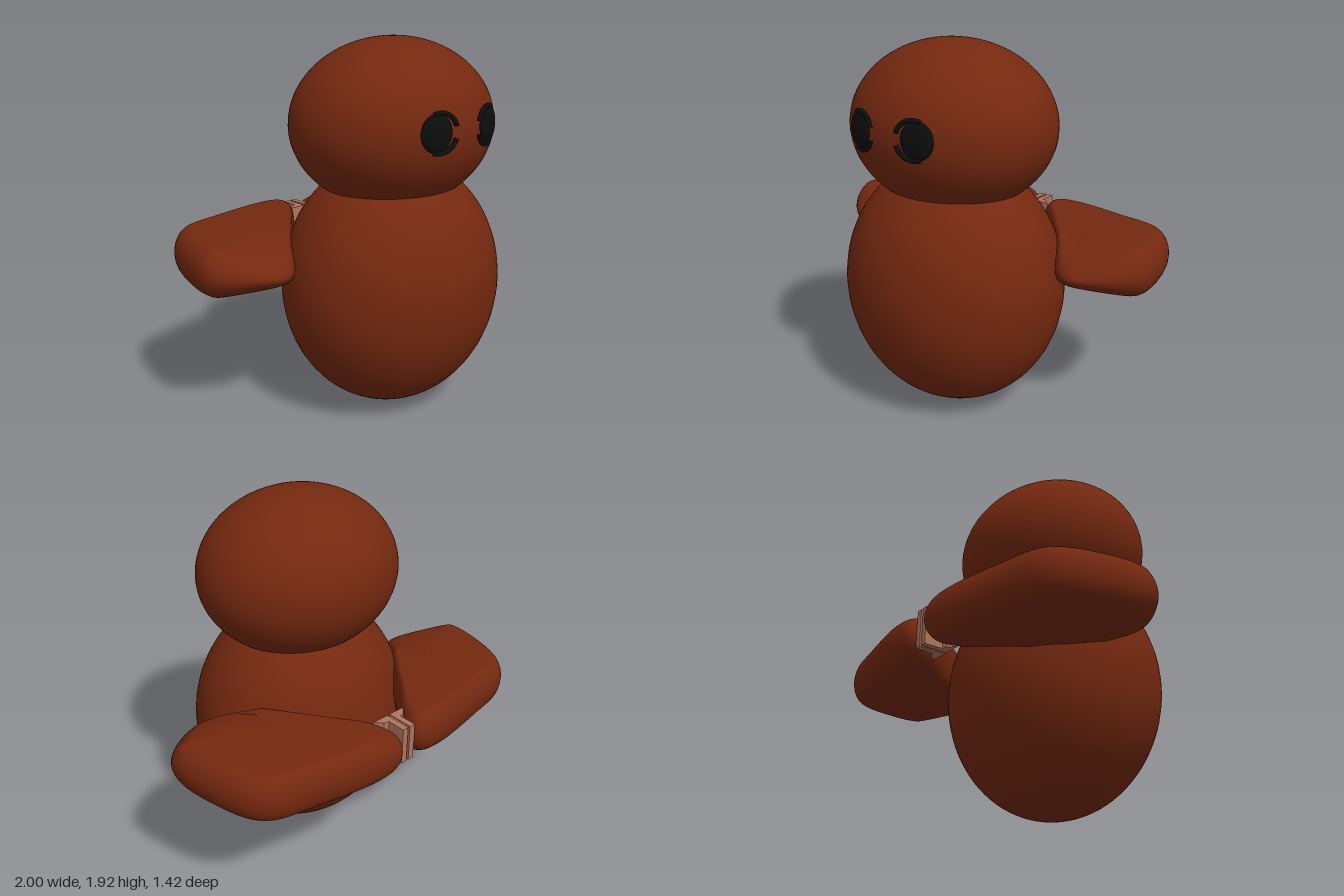
import * as THREE from 'three';

const brown = new THREE.MeshStandardMaterial({ name: 'russet brown', color: 0x74280f });
const black = new THREE.MeshStandardMaterial({ name: 'black', color: 0x0d0d0d });
const pink = new THREE.MeshStandardMaterial({ name: 'dusty pink', color: 0xb0745f });

function add(parent, name, geometry, material, x = 0, y = 0, z = 0) {
  const mesh = new THREE.Mesh(geometry, material);
  mesh.name = name;
  mesh.position.set(x, y, z);
  parent.add(mesh);
  return mesh;
}

// Wing outline seen from above, as [x, z], clockwise from the root
const wingOutline = [
  [0.04, -0.66], [0.08, -0.7], [0.2, -0.71], [0.36, -0.69], [0.58, -0.648], [0.79, -0.6], [0.88, -0.525],
  [0.96, -0.33], [0.998, -0.1], [0.965, -0.025], [0.8, 0.11], [0.7, 0.148], [0.62, 0.12],
  [0.5, -0.02], [0.35, -0.2], [0.2, -0.385], [0.08, -0.53], [0.05, -0.59],
];

// Flat pillow built from rings that shrink towards the wing centre
function wingGeometry(side) {
  const curve = new THREE.CatmullRomCurve3(
    wingOutline.map(([x, z]) => new THREE.Vector3(x, 0, z)), true, 'centripetal');
  const n = 90;
  const outline = curve.getPoints(n).slice(0, n);
  const rings = [[0, 1], [0.5, 1]];
  for (let i = 0; i <= 16; i++) {
    const t = (i / 16) * Math.PI;
    rings.push([0.8 + 0.2 * Math.sin(t), Math.cos(t)]);
  }
  rings.push([0.5, -1], [0, -1]);

  const positions = [], index = [];
  for (const [s, f] of rings) {
    for (const p of outline) {
      const x = 0.52 + (p.x - 0.52) * s;
      const z = -0.3 + (p.z + 0.3) * s;
      const tip = THREE.MathUtils.clamp((z + 0.1) / 0.25, 0, 1);   // thins towards the front tip
      const drop = side > 0 ? 0.03 * THREE.MathUtils.clamp((-0.1 - z) / 0.5, 0, 1) : 0;
      positions.push(side * x, 0.833 - 0.02 * tip - drop + 0.125 * f * (1 - 0.65 * tip), z);
    }
  }
  for (let i = 0; i < rings.length - 1; i++) {
    for (let j = 0; j < n; j++) {
      const a = i * n + j, b = i * n + (j + 1) % n, c = a + n, d = b + n;
      if (side > 0) index.push(a, b, c, b, d, c);
      else index.push(a, c, b, b, c, d);
    }
  }
  const geometry = new THREE.BufferGeometry();
  geometry.setAttribute('position', new THREE.Float32BufferAttribute(positions, 3));
  geometry.setIndex(index);
  geometry.computeVertexNormals();
  return geometry;
}

// Eye: domed pupil with two crescents on the inner side
function makeEye(side) {
  const eye = new THREE.Group();
  eye.name = side > 0 ? 'leftEye' : 'rightEye';
  eye.position.set(side * 0.168, 1.512, 0.637);
  eye.rotation.y = side * 0.28;
  const pupil = add(eye, 'pupil', new THREE.SphereGeometry(1, 32, 20), black, side * 0.017, 0, 0);
  pupil.scale.set(0.084, 0.092, 0.025);
  for (const up of [1, -1]) {
    const start = (side > 0 ? 65 : 18) * Math.PI / 180;
    const arc = new THREE.TorusGeometry(0.094, 0.012, 10, 24, 97 * Math.PI / 180);
    arc.rotateZ(start);
    if (up < 0) arc.rotateX(Math.PI);
    add(eye, up > 0 ? 'upperLid' : 'lowerLid', arc, black, 0, 0, 0.004);
  }
  return eye;
}

// Hinge half: a small channel with a flared foot, extruded upwards
function hingeGeometry(side) {
  const points = [[0.007, -0.665], [0.04, -0.665], [0.04, -0.565], [0.068, -0.56], [0.105, -0.52], [0.007, -0.52]];
  const shape = new THREE.Shape(points.map(([x, z]) => new THREE.Vector2(side * x, -z)));
  const geometry = new THREE.ExtrudeGeometry(shape, { depth: 0.2, bevelEnabled: false });
  geometry.rotateX(-Math.PI / 2);
  return geometry;
}

export function createModel() {
  const model = new THREE.Group();
  model.name = 'bird';

  const body = add(model, 'body', new THREE.SphereGeometry(1, 64, 48), brown, 0, 0.66, 0.173);
  body.scale.set(0.605, 0.66, 0.535);
  const head = add(model, 'head', new THREE.SphereGeometry(1, 64, 48), brown, 0, 1.49, 0.172);
  head.scale.set(0.55, 0.43, 0.488);

  for (const side of [1, -1]) {
    const label = side > 0 ? 'left' : 'right';
    add(model, label + 'Wing', wingGeometry(side), brown);
    add(model, label + 'Hinge', hingeGeometry(side), pink, 0, 0.72, 0);
    model.add(makeEye(side));
  }
  // Web closing the groove between the hinge halves
  add(model, 'hingeWeb', new THREE.BoxGeometry(0.016, 0.19, 0.125), pink, 0, 0.82, -0.59);
  return model;
}
